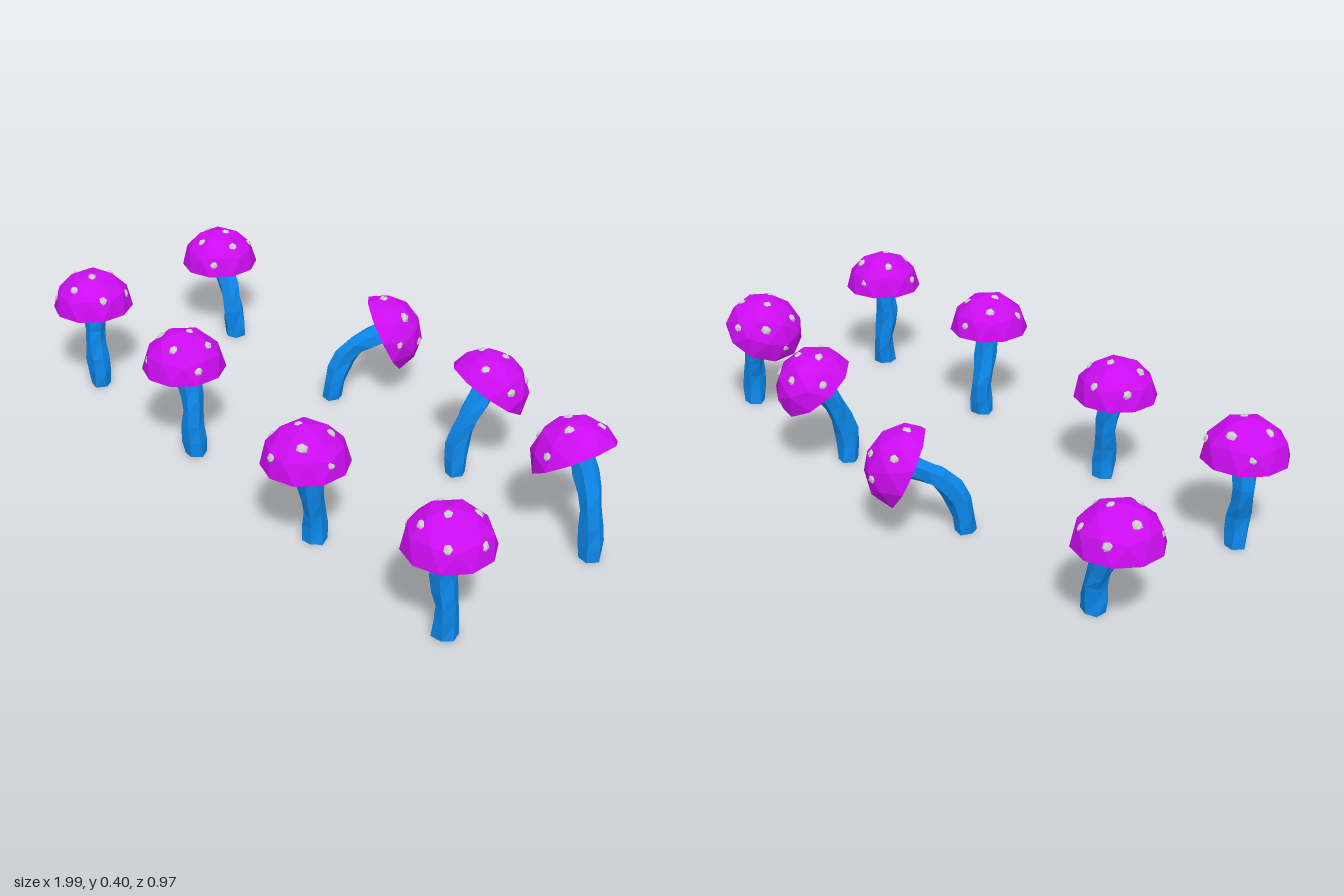
import * as THREE from 'three';

const paint = (color) => new THREE.MeshStandardMaterial({ color, flatShading: true });
const capMat = paint(0xcc0cf0);
const stemMat = paint(0x0c86e8);
const gillMat = paint(0xd01010);
gillMat.side = THREE.DoubleSide;
const spotMat = paint(0xcccccc);

const R = 0.125, H = 0.12;

// Upper half of a vertex-up icosphere, unit radius, open at the equator
function domeGeometry() {
  const ball = new THREE.IcosahedronGeometry(1, 1);
  const corner = new THREE.Vector3(-1, (1 + Math.sqrt(5)) / 2, 0).normalize();
  ball.applyQuaternion(new THREE.Quaternion().setFromUnitVectors(corner, new THREE.Vector3(0, 1, 0)));
  const p = ball.attributes.position;
  const kept = [];
  for (let i = 0; i < p.count; i += 3) {
    if (p.getY(i) + p.getY(i + 1) + p.getY(i + 2) < 0.05) continue;
    for (let j = i; j < i + 3; j++) kept.push(p.getX(j), p.getY(j), p.getZ(j));
  }
  const g = new THREE.BufferGeometry();
  g.setAttribute('position', new THREE.Float32BufferAttribute(kept, 3));
  g.computeVertexNormals();
  return g;
}

// Spots on the cap: [azimuth, elevation, size]
const SPOTS = [
  [0.4, 1.38, 0.016], [1.3, 0.85, 0.017], [2.9, 0.95, 0.016], [4.6, 0.9, 0.018],
  [0.2, 0.55, 0.016], [2.1, 0.35, 0.015], [3.8, 0.4, 0.016], [5.5, 0.45, 0.017],
];

function makeCap(center, normal, yaw) {
  const cap = new THREE.Group();
  cap.name = 'cap';
  const dome = new THREE.Mesh(domeGeometry().scale(R, H, R), capMat);
  dome.name = 'capDome';
  // Shallow hollow underside sharing the rim of the dome
  const gills = new THREE.Mesh(domeGeometry().scale(R, 0.008, R), gillMat);
  gills.name = 'capUnderside';
  cap.add(dome, gills);

  SPOTS.forEach(([az, el, s], i) => {
    const dir = new THREE.Vector3(Math.cos(el) * Math.cos(az), Math.sin(el), Math.cos(el) * Math.sin(az));
    const spot = new THREE.Mesh(new THREE.IcosahedronGeometry(s, 0).scale(1, 0.6, 0.85), spotMat);
    spot.name = 'spot' + (i + 1);
    spot.position.set(dir.x * R, dir.y * H, dir.z * R).multiplyScalar(0.93);
    spot.quaternion.setFromUnitVectors(new THREE.Vector3(0, 1, 0), dir);
    cap.add(spot);
  });

  const up = new THREE.Vector3(0, 1, 0);
  cap.position.set(...center);
  cap.quaternion.setFromUnitVectors(up, new THREE.Vector3(...normal).normalize())
    .multiply(new THREE.Quaternion().setFromAxisAngle(up, yaw));
  return cap;
}

// Six-sided bent stem, slightly knobbly, with a closed foot
function makeStem(points, index) {
  const curve = new THREE.CatmullRomCurve3(points.map((p) => new THREE.Vector3(...p)));
  const rings = 6, sides = 6;
  const g = new THREE.TubeGeometry(curve, rings, 0.034, sides);
  const p = g.attributes.position;
  const v = new THREE.Vector3();
  for (let r = 0; r <= rings; r++) {
    const c = curve.getPointAt(r / rings);
    for (let s = 0; s <= sides; s++) {
      const k = r * (sides + 1) + s;
      const bulge = 1 + 0.12 * Math.sin((s % sides) * 2.3 + r * 1.7 + index);
      v.fromBufferAttribute(p, k).sub(c).multiplyScalar(bulge).add(c);
      p.setXYZ(k, v.x, r === 0 ? 0 : v.y, v.z);
    }
  }
  const stem = new THREE.Group();
  stem.name = 'stem';
  const shaft = new THREE.Mesh(g, stemMat);
  shaft.name = 'stemShaft';
  const foot = new THREE.Mesh(new THREE.CircleGeometry(0.031, sides).rotateX(Math.PI / 2), stemMat);
  foot.name = 'stemFoot';
  foot.position.set(points[0][0], 0.001, points[0][2]);
  stem.add(shaft, foot);
  return stem;
}

// Each mushroom: stem path, cap rim centre and cap direction
const UP = [0, 1, 0];
const MUSHROOMS = [
  { path: [[-0.79, 0, 0.31], [-0.79, 0.09, 0.315], [-0.81, 0.19, 0.305], [-0.8, 0.29, 0.31]], cap: [-0.8, 0.28, 0.31], dir: UP },
  { path: [[-0.25, 0, 0.31], [-0.25, 0.08, 0.315], [-0.26, 0.17, 0.305], [-0.285, 0.29, 0.31]], cap: [-0.29, 0.28, 0.31], dir: UP },
  { path: [[0.33, 0, 0.31], [0.33, 0.08, 0.305], [0.335, 0.17, 0.325], [0.345, 0.29, 0.345]], cap: [0.345, 0.28, 0.35], dir: UP },
  { path: [[0.87, 0, 0.31], [0.87, 0.08, 0.305], [0.86, 0.18, 0.315], [0.87, 0.29, 0.31]], cap: [0.87, 0.28, 0.31], dir: UP },
  { path: [[-0.79, 0, -0.23], [-0.795, 0.09, -0.23], [-0.83, 0.18, -0.235], [-0.87, 0.25, -0.235]], cap: [-0.875, 0.24, -0.235], dir: UP },
  { path: [[-0.25, 0, -0.225], [-0.245, 0.09, -0.24], [-0.22, 0.17, -0.285], [-0.17, 0.22, -0.37]], cap: [-0.17, 0.215, -0.37], dir: [0.54, 0.43, -0.72] },
  { path: [[0.325, 0, -0.23], [0.325, 0.08, -0.23], [0.335, 0.17, -0.255], [0.35, 0.275, -0.315]], cap: [0.35, 0.265, -0.32], dir: [0.22, 0.8, -0.55] },
  { path: [[0.87, 0, -0.228], [0.87, 0.09, -0.225], [0.85, 0.19, -0.23], [0.81, 0.3, -0.23]], cap: [0.785, 0.28, -0.23], dir: [-0.55, 0.83, 0] },
];

export function createModel() {
  const model = new THREE.Group();
  model.name = 'mushrooms';
  MUSHROOMS.forEach(({ path, cap, dir }, i) => {
    const mushroom = new THREE.Group();
    mushroom.name = 'mushroom' + (i + 1);
    mushroom.add(makeStem(path, i), makeCap(cap, dir, i * 1.9));
    model.add(mushroom);
  });
  return model;
}
